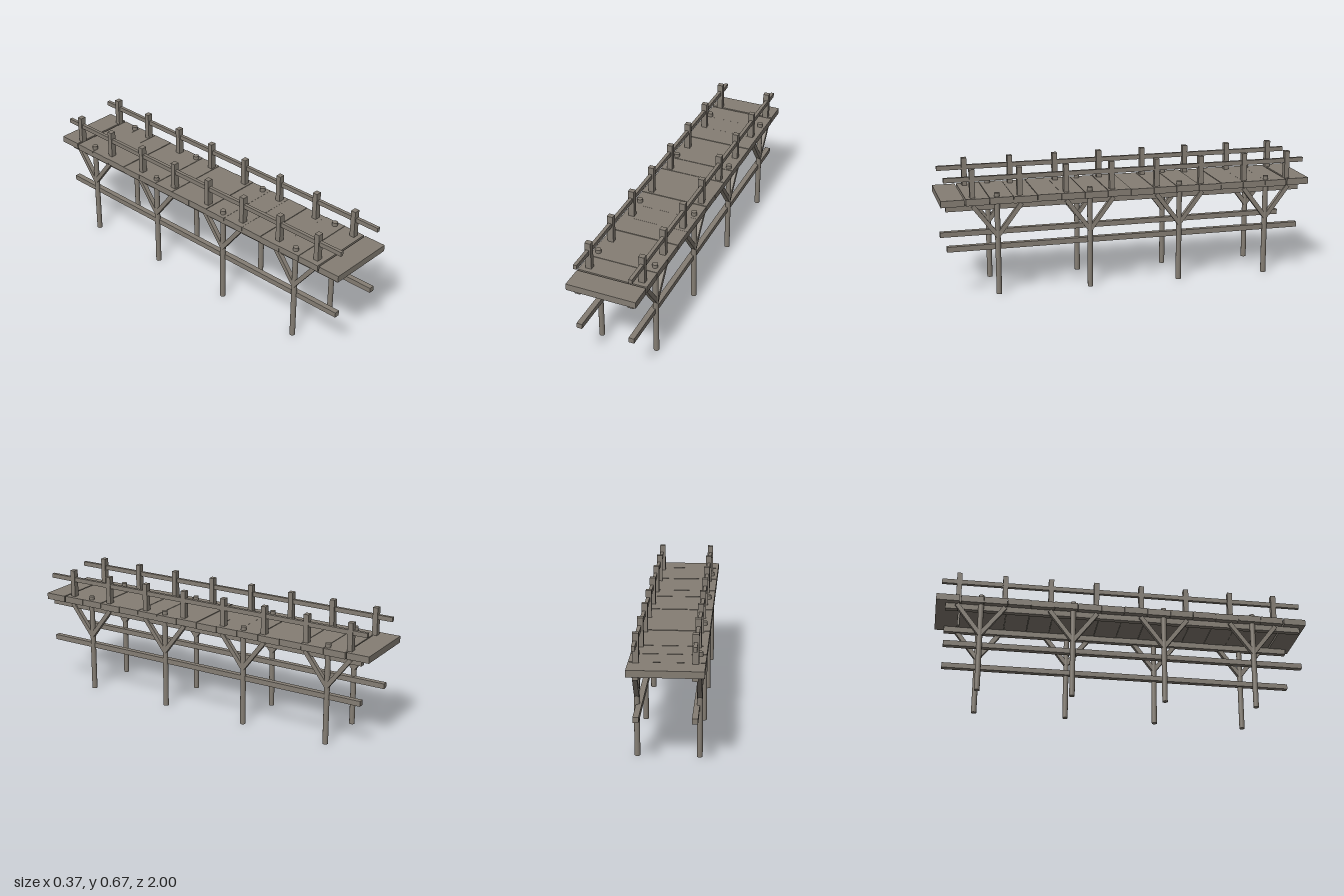
import * as THREE from 'three';

export function createModel() {
  const model = new THREE.Group();
  const wood = new THREE.MeshStandardMaterial({ color: 0x857e74 });
  wood.name = 'weathered wood';

  const add = (name, geometry, x, y, z) => {
    const mesh = new THREE.Mesh(geometry, wood);
    mesh.name = name;
    mesh.position.set(x, y, z);
    model.add(mesh);
    return mesh;
  };
  const box = (name, w, h, d, x, y, z) => add(name, new THREE.BoxGeometry(w, h, d), x, y, z);

  // Deck planks, laid slightly unevenly
  const lift = [0, -0.002, -0.001, 0, -0.002, 0, -0.001, -0.002];
  const wideGaps = [1, 15]; // the joints that stand open near both ends
  const count = 16, pitch = 2 / count;
  for (let i = 0; i < count; i++) {
    const start = -1 + i * pitch + (wideGaps.includes(i) ? 0.005 : i ? 0.001 : 0);
    const end = -1 + (i + 1) * pitch - (wideGaps.includes(i + 1) ? 0.003 : i < count - 1 ? 0.001 : 0);
    box('deckPlank', 0.369, 0.035, end - start, 0, 0.5075 + lift[i % lift.length], (start + end) / 2);
  }

  const sides = [
    { pile: -0.153, beam: -0.138, post: -0.138, rail: -0.139 },
    { pile: 0.155, beam: 0.144, post: 0.1465, rail: 0.15 },
  ];
  for (const s of sides) {
    // Long beams under the deck and between the piles
    box('deckBeam', 0.029, 0.031, 1.923, s.beam, 0.4735, 0.0115);
    box('lowerBeam', 0.029, 0.028, 1.923, s.beam, 0.258, 0.0115);

    // Handrail and its posts
    box('handrail', 0.018, 0.024, 1.955, s.rail, 0.622, 0.0025);
    for (let i = 0; i < 8; i++) {
      box('railPost', 0.031, 0.175, 0.027, s.post, 0.5855, 0.834 - i * 0.2453);
    }

    // Round piles, each with a pair of diagonal braces
    for (let i = 0; i < 4; i++) {
      const z = 0.708 - i * 0.4903;
      add('pile', new THREE.CylinderGeometry(0.0145, 0.0145, 0.544, 16), s.pile, 0.272, z);
      for (const dir of [-1, 1]) {
        const rise = 0.167, run = 0.127;
        const brace = box('brace', 0.024, Math.hypot(rise, run), 0.023,
          s.pile, 0.315 + rise / 2, z + dir * run / 2);
        brace.rotation.x = dir * Math.atan2(run, rise);
      }
    }
  }
  return model;
}
